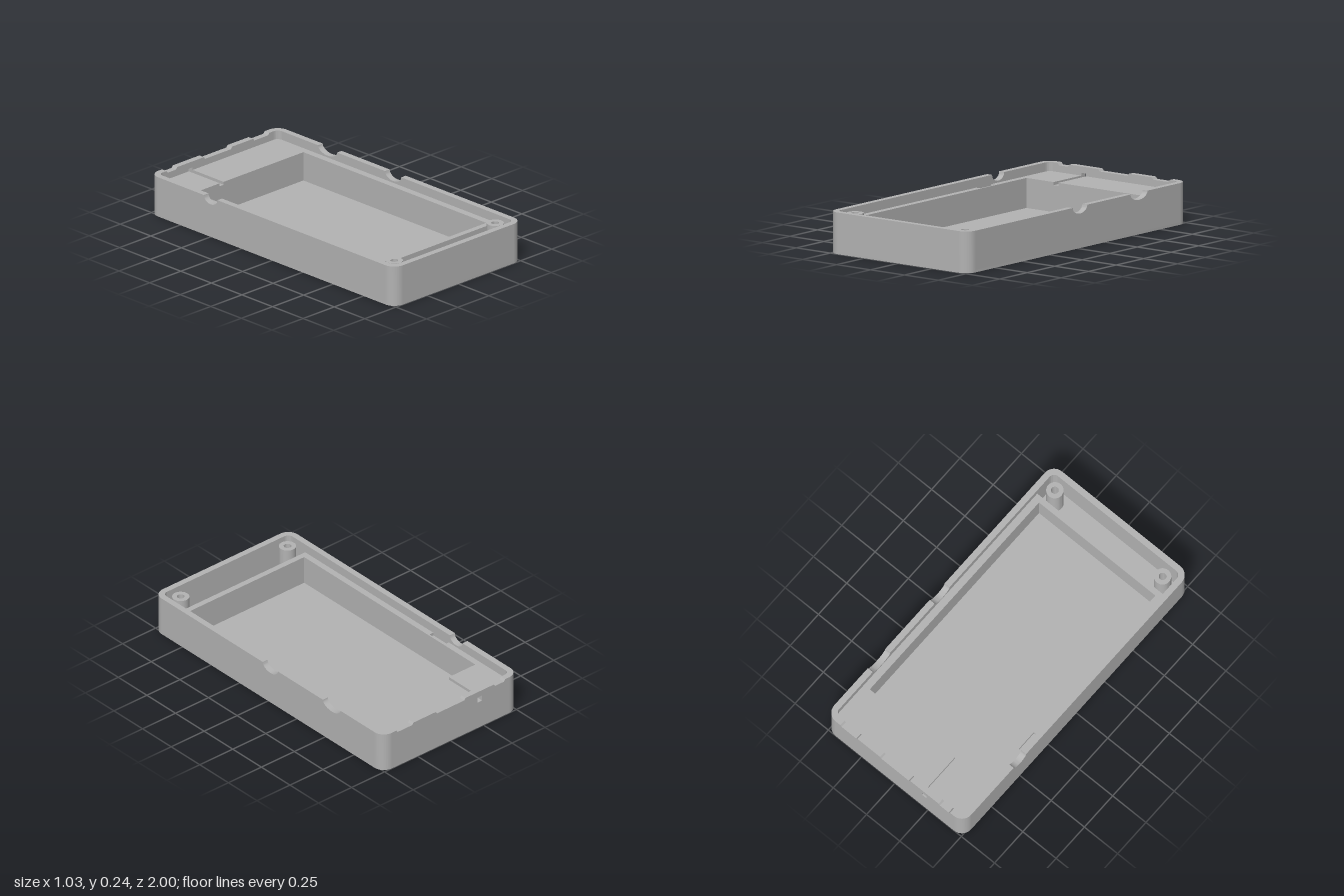
import * as THREE from 'three';
import { toCreasedNormals } from 'three/addons/utils/BufferGeometryUtils.js';

const X = 0.515, Z = 1, H = 0.243;      // outer half sizes and rim height
const R = 0.07, T = 0.037;              // corner radius and wall thickness
const FLOOR = 0.015, GROOVE = 0.172, DECK = 0.19, POST = 0.23;

export function createModel() {
  const group = new THREE.Group();
  const grey = new THREE.MeshStandardMaterial({ color: 0xb2b2b2 });
  grey.name = 'plain grey';

  const add = (name, geometry) => {
    const mesh = new THREE.Mesh(toCreasedNormals(geometry, 0.6), grey);
    mesh.name = name;
    group.add(mesh);
  };
  const extrude = (shape, depth) =>
    new THREE.ExtrudeGeometry(shape, { depth, bevelEnabled: false, curveSegments: 16 });
  // plan shape in (x, z), raised from y0 to y1
  const slab = (shape, y0, y1) => extrude(shape, y1 - y0).rotateX(Math.PI / 2).translate(0, y1, 0);
  const polygon = (points) => new THREE.Shape(points.map(([a, b]) => new THREE.Vector2(a, b)));
  const rectPath = (x0, y0, x1, y1) => new THREE.Path(
    [[x0, y0], [x1, y0], [x1, y1], [x0, y1]].map(([a, b]) => new THREE.Vector2(a, b)));
  const circlePath = (x, y, r) => new THREE.Path().absarc(x, y, r, 0, Math.PI * 2, true);

  const screws = [-0.405, 0.405].map((x) => [x, 0.89]);

  // floor plate with rounded corners and two screw holes
  const base = new THREE.Shape();
  base.absarc(X - R, Z - R, R, 0, Math.PI / 2);
  base.absarc(R - X, Z - R, R, Math.PI / 2, Math.PI);
  base.absarc(R - X, R - Z, R, Math.PI, Math.PI * 1.5);
  base.absarc(X - R, R - Z, R, Math.PI * 1.5, Math.PI * 2);
  screws.forEach(([x, z]) => base.holes.push(circlePath(x, z, 0.022)));
  add('floor', slab(base, 0, FLOOR));

  // quarter-ring wall corners
  [[1, 1], [-1, 1], [-1, -1], [1, -1]].forEach(([sx, sz], i) => {
    const a = i * Math.PI / 2, b = a + Math.PI / 2;
    const cx = sx * (X - R), cz = sz * (Z - R);
    const ring = new THREE.Shape();
    ring.absarc(cx, cz, R, a, b);
    ring.absarc(cx, cz, R - T, b, a, true);
    add('wallCorner', slab(ring, FLOOR, H));
  });

  // wall side profile, with cut-outs in the rim: [centre, half width, depth, flat]
  const wallShape = (half, cuts) => {
    const points = [[-half, FLOOR], [-half, H]];
    for (const [c, w, d, flat] of cuts) {
      if (flat) {
        points.push([c - w, H], [c - w + 0.01, H - d], [c + w - 0.01, H - d], [c + w, H]);
        continue;
      }
      for (let i = 0; i <= 20; i++) {
        const t = i / 20 * Math.PI;
        points.push([c - w * Math.cos(t), H - d * Math.sin(t)]);
      }
    }
    points.push([half, H], [half, FLOOR]);
    return polygon(points);
  };
  const sideWall = (cuts) => extrude(wallShape(Z - R, cuts), T).rotateY(-Math.PI / 2);
  add('leftWall', sideWall([[-0.556, 0.077, 0.042], [-0.02, 0.066, 0.042]]).translate(X, 0, 0));
  add('rightWall', sideWall([[-0.5, 0.055, 0.042]]).translate(T - X, 0, 0));
  add('frontWall', extrude(wallShape(X - R, []), T).translate(0, 0, Z - T));
  const back = wallShape(X - R, [
    [-0.372, 0.043, 0.013, true], [-0.002, 0.113, 0.013, true], [0.345, 0.065, 0.013, true]]);
  back.holes.push(rectPath(-0.24, GROOVE, -0.205, 0.206));
  add('backWall', extrude(back, T).translate(0, 0, -Z));

  // raised deck around the large pocket
  const xi = X - T, zb = T - Z, zf = 0.82, r = R - T;
  const px0 = -0.44, px1 = 0.435, pz0 = -0.71, pz1 = 0.785;
  const deck = new THREE.Shape();
  deck.moveTo(xi, zf);
  deck.lineTo(-xi, zf);
  deck.absarc(r - xi, zb + r, r, Math.PI, Math.PI * 1.5);
  deck.absarc(xi - r, zb + r, r, Math.PI * 1.5, Math.PI * 2);
  deck.holes.push(rectPath(px0, pz0, px1, pz1));
  add('deckBody', slab(deck, FLOOR, GROOVE));

  // deck surface, opened by the cable groove and a small side recess
  const top = new THREE.Shape();
  top.moveTo(xi, zf);
  top.lineTo(-xi, zf);
  top.lineTo(-xi, -0.3);
  top.lineTo(-0.45, -0.3);
  top.lineTo(-0.45, -0.435);
  top.lineTo(-xi, -0.435);
  top.absarc(r - xi, zb + r, r, Math.PI, Math.PI * 1.5);
  [[-0.24, zb], [-0.24, pz0], [px0, pz0], [px0, pz1], [px1, pz1], [px1, pz0],
    [-0.205, pz0], [-0.205, zb]].forEach(([x, z]) => top.lineTo(x, z));
  top.absarc(xi - r, zb + r, r, Math.PI * 1.5, Math.PI * 2);
  add('deckTop', slab(top, GROOVE, DECK));

  // hollow screw posts in the front bay
  screws.forEach(([x, z]) => {
    const post = new THREE.Shape().absarc(x, z, 0.05, 0, Math.PI * 2);
    post.holes.push(circlePath(x, z, 0.022));
    add('screwPost', slab(post, FLOOR, POST));
  });

  return group;
}
